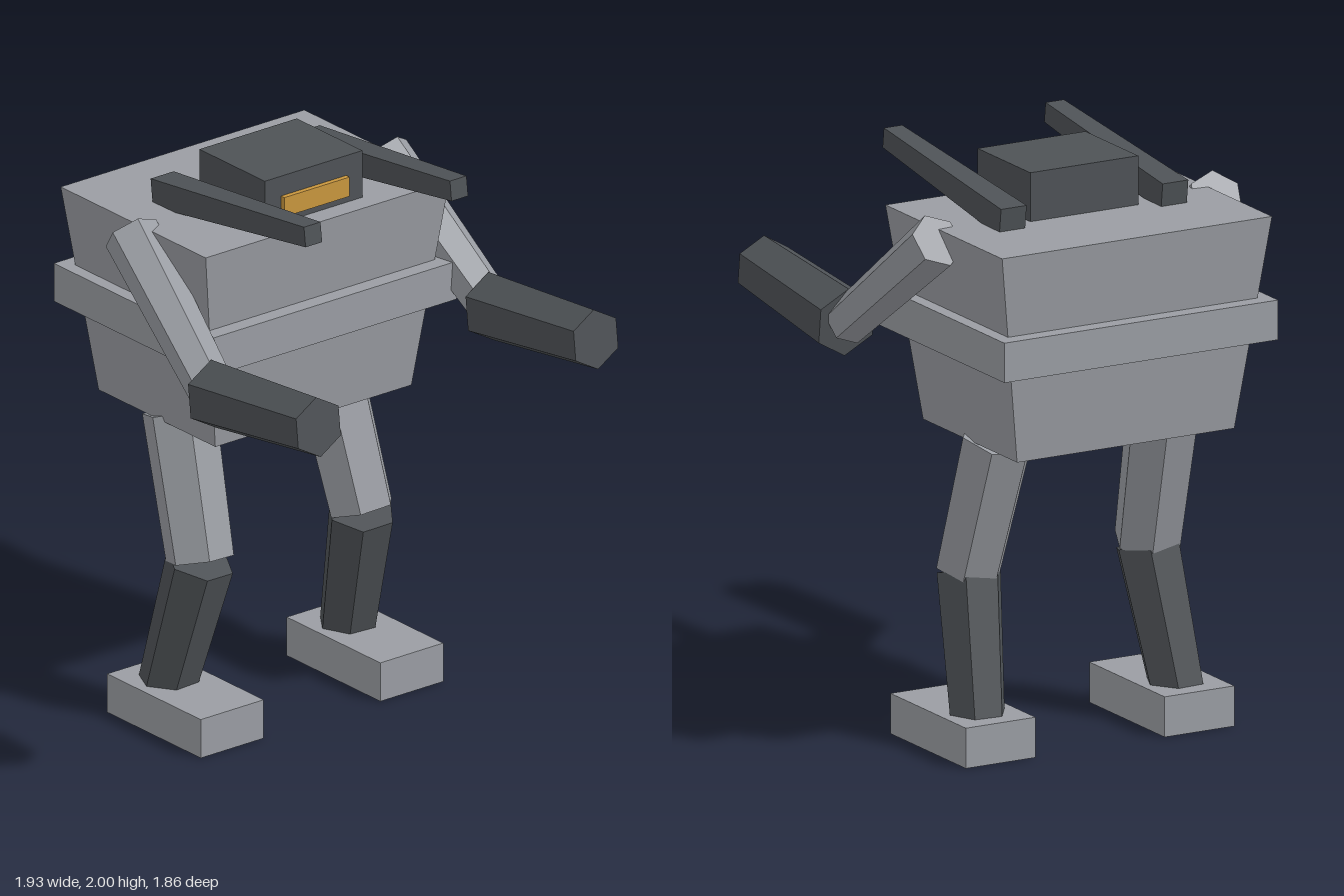
import * as THREE from 'three';

const flat = (name, color) => {
  const m = new THREE.MeshStandardMaterial({ color, flatShading: true });
  m.name = name;
  return m;
};

export function createModel() {
  const lightGrey = flat('light grey', 0x9a9da3);
  const darkGrey = flat('dark grey', 0x4e5256);
  const amber = flat('amber', 0xc8963e);

  const root = new THREE.Group();
  root.name = 'walkingRobot';
  const robot = new THREE.Group();
  robot.name = 'turnedBody';
  root.add(robot);

  const add = (name, geometry, material, x = 0, y = 0, z = 0) => {
    const mesh = new THREE.Mesh(geometry, material);
    mesh.name = name;
    mesh.position.set(x, y, z);
    robot.add(mesh);
    return mesh;
  };

  // Tapered prism running from point a (radius ra) to point b (radius rb)
  const limb = (name, material, a, b, ra, rb, sides = 6) => {
    const from = new THREE.Vector3(...a);
    const dir = new THREE.Vector3(...b).sub(from);
    const geometry = new THREE.CylinderGeometry(rb, ra, dir.length(), sides);
    if (sides === 4) geometry.rotateY(Math.PI / 4);
    const mesh = add(name, geometry, material);
    mesh.position.copy(from).addScaledVector(dir, 0.5);
    mesh.quaternion.setFromUnitVectors(new THREE.Vector3(0, 1, 0), dir.normalize());
  };

  // Torso: four-sided hull, narrower at the bottom, with a belt around it
  const hull = new THREE.CylinderGeometry(Math.SQRT1_2, Math.SQRT1_2 * 0.805, 0.74, 4);
  hull.rotateY(Math.PI / 4).scale(1.045, 1, 0.775);
  add('torso', hull, lightGrey, 0, 1.46, 0);
  add('belt', new THREE.BoxGeometry(1.06, 0.138, 0.83), lightGrey, 0, 1.476, 0);

  // Head with visor
  add('head', new THREE.BoxGeometry(0.418, 0.2, 0.35), darkGrey, 0, 1.9, 0.138);
  add('visor', new THREE.BoxGeometry(0.28, 0.07, 0.03), amber, 0, 1.893, 0.316);

  for (const s of [-1, 1]) {
    const side = s > 0 ? 'left' : 'right';

    // Rods over the shoulders
    limb(side + 'Rod', darkGrey, [s * 0.313, 1.862, -0.1], [s * 0.313, 1.963, 0.7], 0.07, 0.05, 4);

    // Arms
    limb(side + 'UpperArm', lightGrey, [s * 0.54, 1.80, 0.01], [s * 0.595, 1.40, 0.52], 0.096, 0.08);
    limb(side + 'Forearm', darkGrey, [s * 0.595, 1.40, 0.52], [s * 0.595, 1.465, 1.08], 0.12, 0.105);

    // Legs
    limb(side + 'Thigh', lightGrey, [s * 0.318, 1.09, -0.01], [s * 0.346, 0.605, 0.137], 0.128, 0.118);
    limb(side + 'Shin', darkGrey, [s * 0.346, 0.595, 0.137], [s * 0.387, 0.1, 0.006], 0.118, 0.1);
    add(side + 'Foot', new THREE.BoxGeometry(0.27, 0.14, 0.5), lightGrey, s * 0.385, 0.07, 0.108);
  }

  // The figure stands turned towards its left
  robot.rotation.y = THREE.MathUtils.degToRad(55);
  robot.position.set(-0.324, 0, -0.257);
  return root;
}
